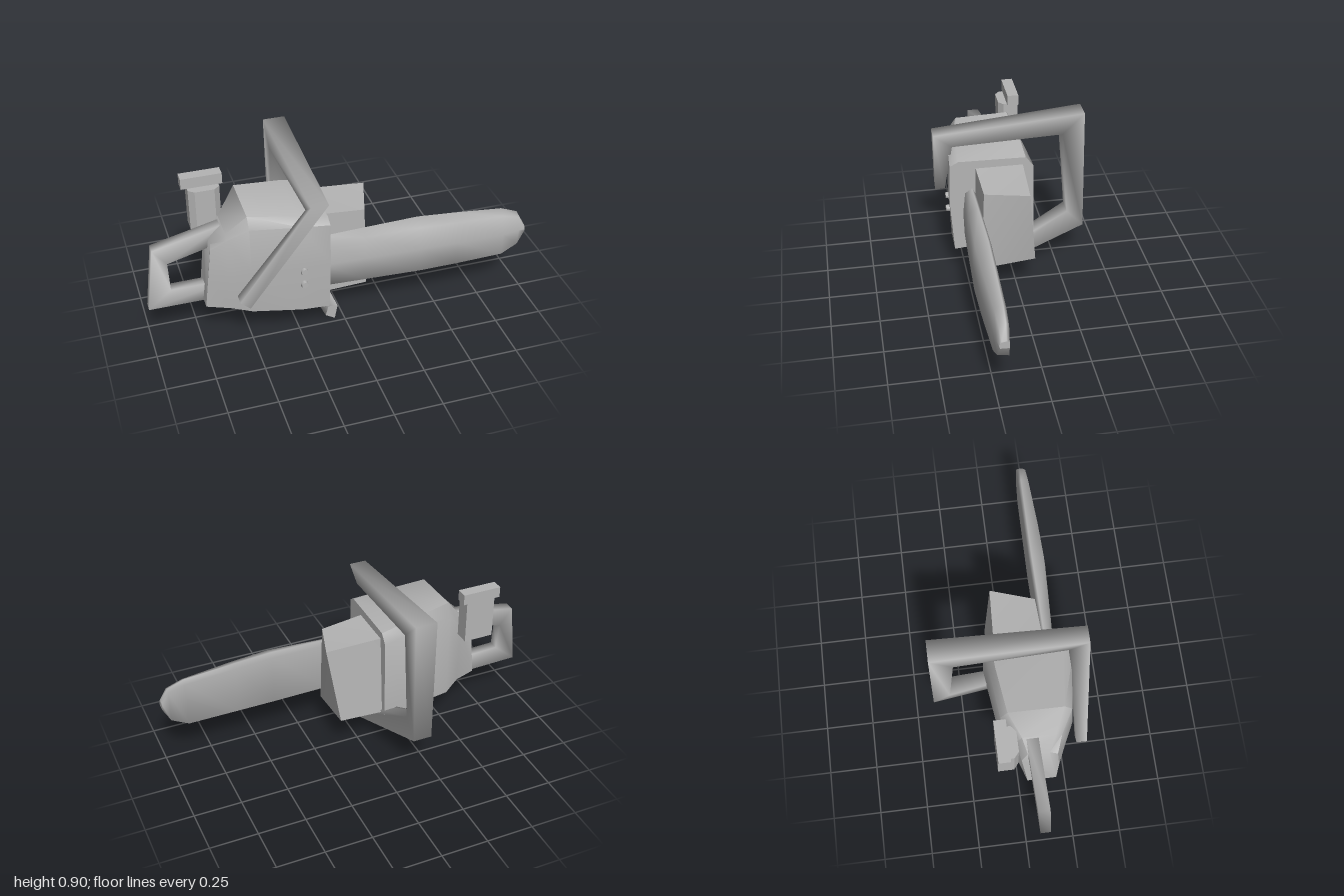
import * as THREE from 'three';
import { toCreasedNormals } from 'three/addons/utils/BufferGeometryUtils.js';

// Skins a list of rings (equal counts of [x, y, z]) and closes both ends with flat caps
function loft(rings, crease) {
  const n = rings[0].length;
  const pos = rings.flat(2);
  const idx = [];
  for (let r = 0; r < rings.length - 1; r++) {
    for (let i = 0; i < n; i++) {
      const j = (i + 1) % n;
      const a = r * n + i, b = r * n + j, c = a + n, d = b + n;
      idx.push(a, c, b, b, c, d);
    }
  }
  [rings[0], rings[rings.length - 1]].forEach((ring, end) => {
    const base = pos.length / 3;
    pos.push(...ring.flat());
    for (let i = 1; i < n - 1; i++) {
      if (end) idx.push(base, base + i + 1, base + i);
      else idx.push(base, base + i, base + i + 1);
    }
  });
  // Turn the faces outward when the signed volume is negative
  const v = (i) => new THREE.Vector3().fromArray(pos, i * 3);
  let volume = 0;
  for (let i = 0; i < idx.length; i += 3) {
    volume += v(idx[i]).dot(v(idx[i + 1]).cross(v(idx[i + 2])));
  }
  if (volume < 0) idx.reverse();
  const g = new THREE.BufferGeometry();
  g.setAttribute('position', new THREE.Float32BufferAttribute(pos, 3));
  g.setIndex(idx);
  if (crease) return toCreasedNormals(g, crease);
  g.computeVertexNormals();
  return g;
}

// Ring in the plane of one x, from [y, z] pairs
const ringX = (x, pts) => pts.map(([y, z]) => [x, y, z]);

export function createModel() {
  const model = new THREE.Group();
  const grey = new THREE.MeshStandardMaterial({ color: 0xb4b4b4 });
  grey.name = 'grey';
  const add = (name, geometry) => {
    const mesh = new THREE.Mesh(geometry, grey);
    mesh.name = name;
    model.add(mesh);
    return mesh;
  };

  // Engine housing, swelling from the rear to the bar
  add('engineHousing', loft([
    [[-0.72, 0.21, 0.19], [-0.7, 0.4, 0.2], [-0.68, 0.55, 0.19], [-0.67, 0.56, 0.15],
      [-0.67, 0.57, 0.04], [-0.68, 0.5, 0.01], [-0.72, 0.21, 0.04]],
    ringX(-0.6, [[0.205, 0.235], [0.4, 0.245], [0.61, 0.22], [0.63, 0.19], [0.63, 0.02], [0.56, -0.01], [0.21, 0]]),
    ringX(-0.5, [[0.195, 0.28], [0.45, 0.295], [0.69, 0.28], [0.745, 0.24], [0.755, -0.04], [0.68, -0.075], [0.2, -0.07]]),
    ringX(-0.25, [[0.17, 0.31], [0.45, 0.322], [0.68, 0.315], [0.715, 0.27], [0.72, -0.07], [0.66, -0.1], [0.19, -0.1]]),
    ringX(-0.105, [[0.16, 0.31], [0.45, 0.33], [0.67, 0.325], [0.695, 0.28], [0.69, -0.075], [0.64, -0.115], [0.2, -0.12]]),
  ], 0.8));

  // Block behind the bar with a slanted end
  add('frontBlock', loft([
    ringX(-0.12, [[0.17, 0.2], [0.65, 0.19], [0.65, -0.06], [0.2, -0.09]]),
    [[0.13, 0.18, 0.2], [0.12, 0.625, 0.18], [0.19, 0.635, -0.045], [0.13, 0.21, -0.085]],
  ], 0.8));

  // Guide bar: x, top, bottom, back z, front z
  add('guideBar', loft([
    [-0.12, 0.53, 0.24, 0.195, 0.255],
    [0.1, 0.535, 0.238, 0.192, 0.265],
    [0.4, 0.54, 0.235, 0.188, 0.277],
    [0.6, 0.525, 0.232, 0.19, 0.272],
    [0.87, 0.5, 0.228, 0.193, 0.258],
    [0.96, 0.465, 0.275, 0.196, 0.252],
    [1, 0.39, 0.35, 0.2, 0.245],
  ].map(([x, top, bottom, back, front]) => {
    const inset = (top - bottom) * 0.09;
    return ringX(x, [[bottom, back], [bottom + inset / 2, front], [(top + bottom) / 2, front + 0.004],
      [top - inset, front - 0.008], [top, back + 0.015], [top - inset, back]]);
  })));

  // Wrap handle: a bent four-sided tube around the housing
  const bend = (x0, x1, [zo, yo], [zi, yi]) => [[x0, yo, zo], [x1, yo, zo], [x1, yi, zi], [x0, yi, zi]];
  add('wrapHandle', loft([
    [[-0.58, 0.33, 0.365], [-0.53, 0.285, 0.365], [-0.53, 0.29, 0.31], [-0.58, 0.335, 0.31]],
    bend(-0.225, -0.135, [0.4, 0.84], [0.305, 0.77]),
    bend(-0.25, -0.135, [-0.39, 0.9], [-0.275, 0.79]),
    bend(-0.24, -0.14, [-0.4, 0.215], [-0.31, 0.31]),
    [[-0.1, 0.03, 0.225], [-0.05, 0, 0.225], [-0.035, 0.08, 0.225], [-0.085, 0.085, 0.225]],
  ]));

  // Rear handle: a bent tube open toward the housing
  const grip = ([xo, yo], [xi, yi], z0, z1) => [[xo, yo, z0], [xo, yo, z1], [xi, yi, z1], [xi, yi, z0]];
  add('rearHandle', loft([
    grip([-0.55, 0.2], [-0.55, 0.3], 0.06, 0.12),
    grip([-1, 0.205], [-0.88, 0.305], 0.07, 0.125),
    grip([-0.955, 0.55], [-0.885, 0.46], 0.055, 0.115),
    grip([-0.58, 0.63], [-0.58, 0.53], 0.04, 0.1),
  ]));

  // Rear post with chamfered front corners, and its cap
  const plan = [[-0.73, -0.115], [-0.57, -0.115], [-0.57, -0.035], [-0.6, -0.01], [-0.7, -0.01], [-0.73, -0.035]];
  add('rearPost', loft([0.54, 0.768].map((y) => plan.map(([x, z]) => [x, y, z])), 0.3));
  add('postCap', new THREE.BoxGeometry(0.21, 0.058, 0.06)).position.set(-0.655, 0.797, -0.085);

  // Bar nuts
  for (const y of [0.34, 0.42]) {
    const nut = add('barNut', new THREE.CylinderGeometry(0.018, 0.025, 0.05, 6));
    nut.rotation.x = Math.PI / 2;
    nut.position.set(-0.24, y, 0.312);
  }

  return model;
}
